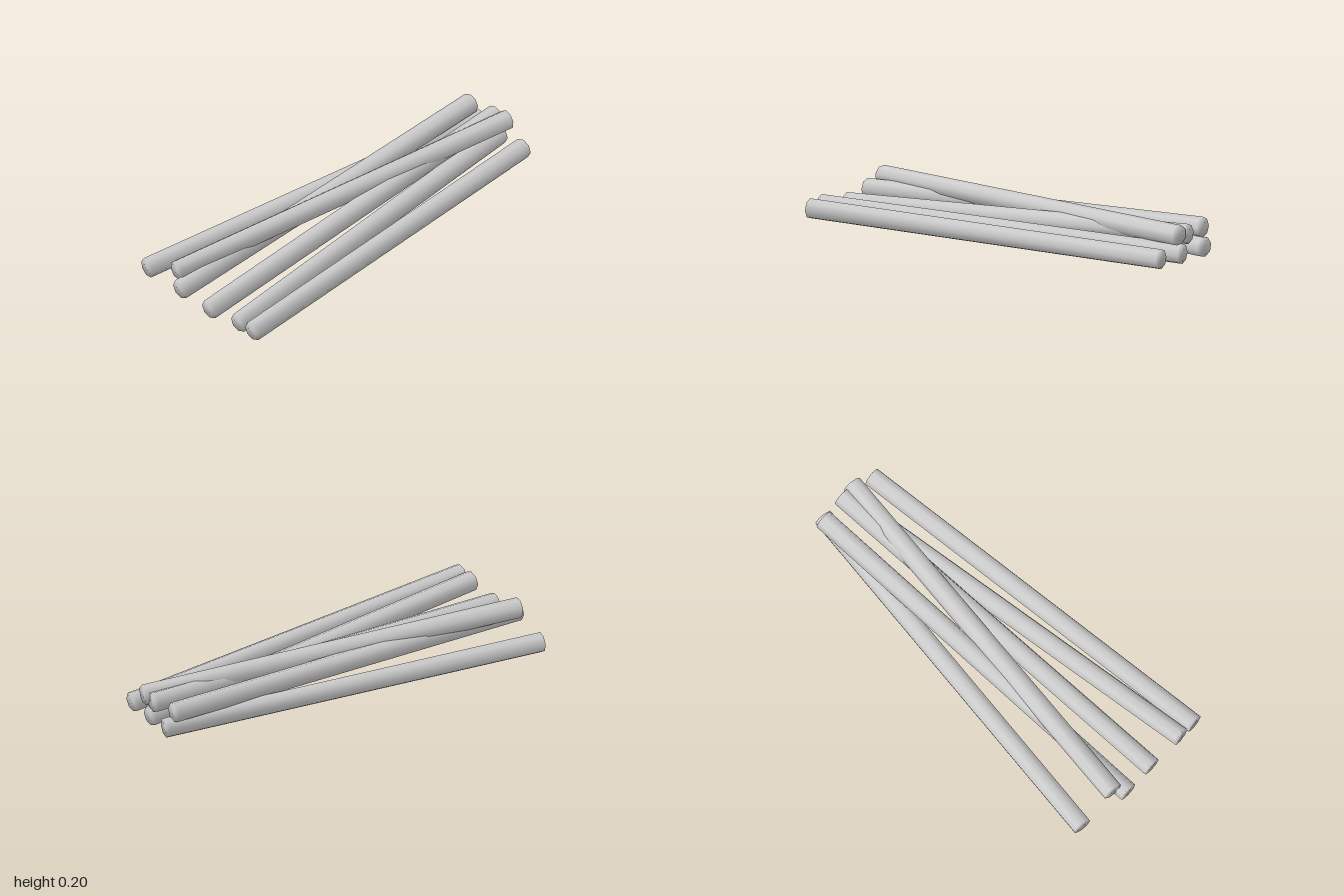
import * as THREE from 'three';
import { mergeVertices } from 'three/addons/utils/BufferGeometryUtils.js';

const RADIUS = 0.049;
const SIDES = 8;

// Each stick: centre of the -x end, centre of the +x end, roll about its axis
const STICKS = [
  { name: 'frontStick', from: [-0.965, 0.071, 0.362], to: [0.98, 0.056, 0.143], roll: 0.2 },
  { name: 'secondStick', from: [-0.97, 0.075, 0.272], to: [0.98, 0.055, -0.016], roll: 0.2 },
  { name: 'middleStick', from: [-0.975, 0.05, 0.074], to: [0.985, 0.146, -0.05], roll: 0.1 },
  { name: 'rearStick', from: [-0.96, 0.052, -0.368], to: [0.99, 0.065, -0.165], roll: 0.1 },
  { name: 'crossingTopStick', from: [-0.96, 0.142, -0.167], to: [0.992, 0.153, 0.024], roll: 0.39 },
  { name: 'rearTopStick', from: [-0.997, 0.085, -0.102], to: [0.96, 0.152, -0.193], roll: 0 },
];

// Closed rod with shared vertices, so the shading flows over sides and ends
function rodGeometry(length, roll) {
  const g = new THREE.CylinderGeometry(RADIUS, RADIUS, length, SIDES);
  g.rotateY(roll);
  g.deleteAttribute('normal');
  g.deleteAttribute('uv');
  const merged = mergeVertices(g, 1e-4);
  merged.computeVertexNormals();
  return merged;
}

export function createModel() {
  const group = new THREE.Group();
  group.name = 'stickPile';
  const material = new THREE.MeshStandardMaterial({ color: 0xcccccc });
  const up = new THREE.Vector3(0, 1, 0);

  for (const { name, from, to, roll } of STICKS) {
    const a = new THREE.Vector3(...from);
    const b = new THREE.Vector3(...to);
    const axis = b.clone().sub(a);
    const stick = new THREE.Mesh(rodGeometry(axis.length(), roll), material);
    stick.name = name;
    stick.position.copy(a).add(b).multiplyScalar(0.5);
    stick.quaternion.setFromUnitVectors(up, axis.normalize());
    group.add(stick);
  }
  return group;
}
